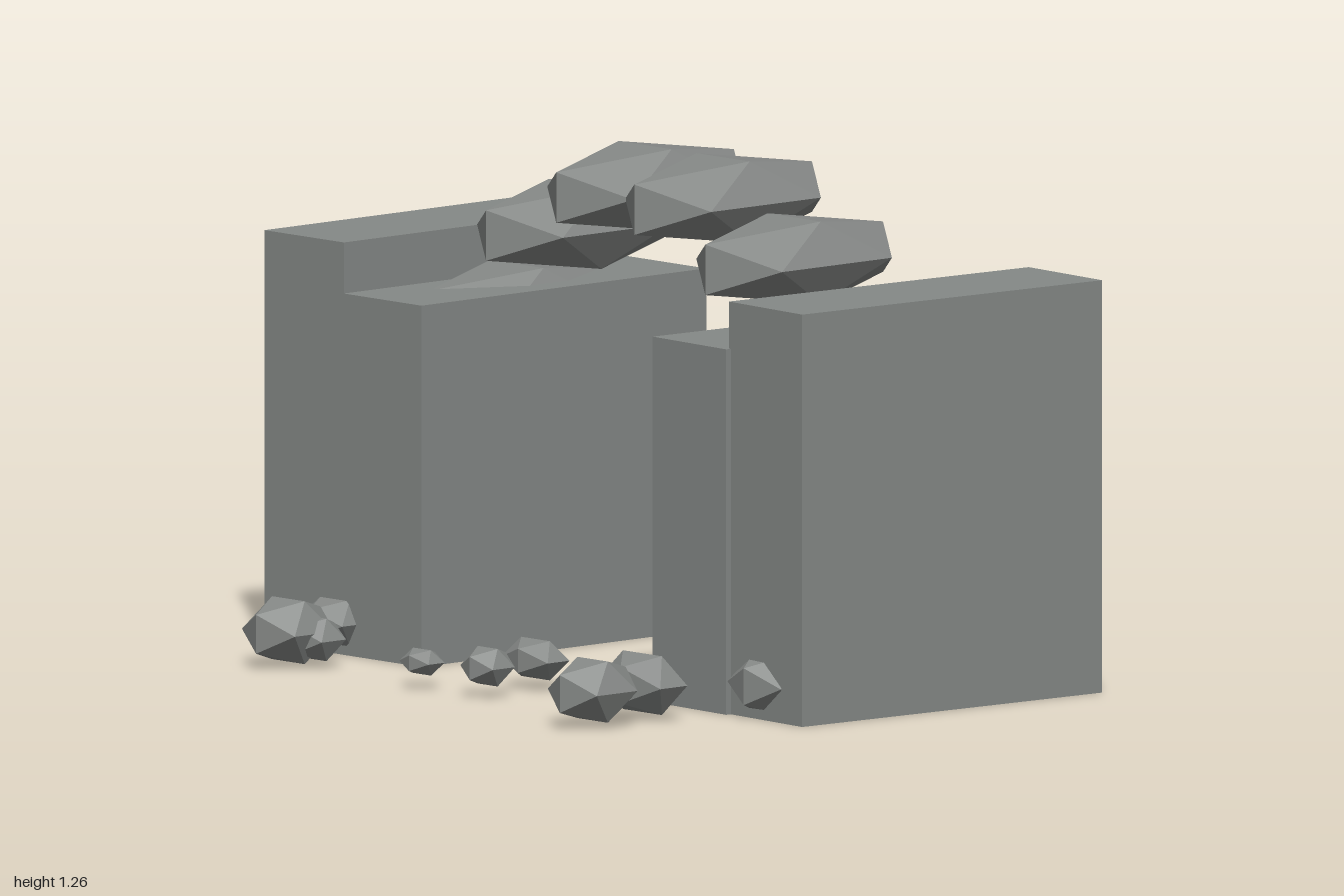
import * as THREE from 'three';

export function createModel() {
  const model = new THREE.Group();
  const wallStone = new THREE.MeshStandardMaterial({ color: 0x858987, flatShading: true });
  wallStone.name = 'wall stone';
  const roughStone = new THREE.MeshStandardMaterial({ color: 0x858886, flatShading: true });
  roughStone.name = 'rough stone';

  // Wall slab standing on the ground
  function slab(name, x, z, width, height, depth, turn) {
    const mesh = new THREE.Mesh(new THREE.BoxGeometry(width, height, depth), wallStone);
    mesh.name = name;
    mesh.position.set(x, height / 2, z);
    mesh.rotation.y = turn;
    model.add(mesh);
  }
  slab('rightOuterWall', -0.858, -0.24, 0.284, 1.01, 0.936, 0.004);
  slab('rightInnerWall', -0.577, -0.24, 0.284, 0.885, 0.936, 0);
  slab('leftInnerWall', 0.545, -0.243, 0.28, 0.895, 0.932, -0.052);
  slab('leftOuterWall', 0.826, -0.241, 0.284, 1.01, 0.932, -0.065);

  // Faceted stone given by its centre and half extents
  const rock = new THREE.IcosahedronGeometry(1, 0);
  const reach = 0.8507;
  function stone(name, [x, y, z], [hx, hy, hz]) {
    const mesh = new THREE.Mesh(rock, roughStone);
    mesh.name = name;
    mesh.position.set(x, y, z);
    mesh.scale.set(hx, hy, hz).divideScalar(reach);
    model.add(mesh);
  }

  // Arch stones spanning the gap
  const arch = [[-0.622, 0.82], [-0.414, 1.04], [-0.162, 1.16], [0.118, 1.16], [0.373, 1.04], [0.585, 0.82]];
  arch.forEach(([x, y], i) => stone('archStone' + (i + 1), [x, y, -0.257], [0.154, 0.1, 0.292]));

  // Rubble at the foot of the walls and in the passage
  const rubble = [
    [[-0.665, 0.088, 0.455], [0.095, 0.077, 0.106]],
    [[-0.615, 0.07, 0.415], [0.07, 0.052, 0.065]],
    [[-0.752, 0.078, 0.22], [0.083, 0.057, 0.088]],
    [[0.018, 0.073, 0.268], [0.083, 0.048, 0.058]],
    [[-0.171, 0.065, 0.468], [0.052, 0.031, 0.043]],
    [[0.045, 0.075, 0.45], [0.058, 0.046, 0.059]],
    [[0.57, 0.088, 0.422], [0.113, 0.072, 0.072]],
    [[0.588, 0.09, 0.602], [0.088, 0.075, 0.108]],
    [[0.762, 0.083, 0.175], [0.096, 0.073, 0.09]],
    [[0.42, 0.095, 0.09], [0.078, 0.085, 0.066]],
  ];
  rubble.forEach(([centre, half], i) => stone('rubble' + (i + 1), centre, half));

  return model;
}
